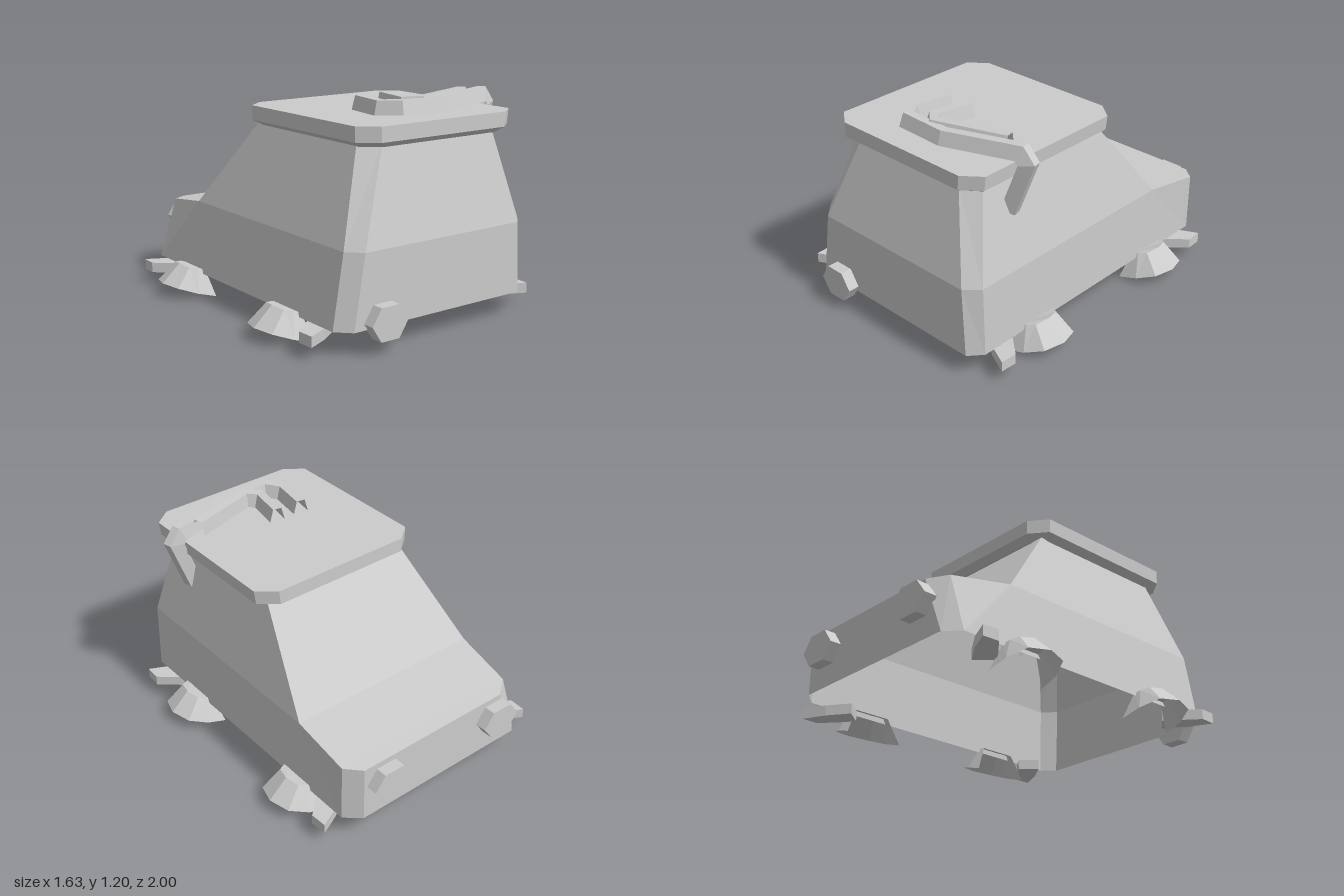
import * as THREE from 'three';

const material = new THREE.MeshStandardMaterial({ color: 0xcccccc, flatShading: true, side: THREE.DoubleSide });

// Flat polygons, each a loop of [x, y, z] corners, cut into fans
function polygonMesh(name, faces) {
  const pos = [];
  for (const f of faces)
    for (let i = 1; i < f.length - 1; i++) pos.push(...f[0], ...f[i], ...f[i + 1]);
  const geo = new THREE.BufferGeometry();
  geo.setAttribute('position', new THREE.Float32BufferAttribute(pos, 3));
  geo.computeVertexNormals();
  const mesh = new THREE.Mesh(geo, material);
  mesh.name = name;
  return mesh;
}

// Quads between successive rings of equal length
function loft(rings, closed = true) {
  const faces = [];
  for (let r = 0; r < rings.length - 1; r++) {
    const a = rings[r], b = rings[r + 1], n = a.length;
    for (let i = 0; i < (closed ? n : n - 1); i++) {
      const j = (i + 1) % n;
      faces.push([a[i], a[j], b[j], b[i]]);
    }
  }
  return faces;
}

// Octagon at height y with cut corners
function octagon(x0, x1, z0, z1, y, cx, cz) {
  return [[x0 + cx, z1], [x1 - cx, z1], [x1, z1 - cz], [x1, z0 + cz],
    [x1 - cx, z0], [x0 + cx, z0], [x0, z0 + cz], [x0, z1 - cz]].map(([x, z]) => [x, y, z]);
}

// Open channel swept along a path, mitred at each bend
function channel(name, path) {
  const pts = path.map(p => new THREE.Vector3(...p));
  const dirs = pts.slice(1).map((p, i) => p.clone().sub(pts[i]).normalize());
  const side = new THREE.Vector3().crossVectors(dirs[0], new THREE.Vector3(0, 1, 0)).normalize();
  const up = new THREE.Vector3().crossVectors(side, dirs[0]);
  let ring = [[-0.045, -0.04], [-0.025, 0.035], [0.025, 0.035], [0.045, -0.04]]
    .map(([s, u]) => pts[0].clone().addScaledVector(side, s).addScaledVector(up, u));
  const rings = [ring];
  for (let i = 1; i < pts.length; i++) {
    const d = dirs[i - 1];
    const n = d.clone().add(dirs[i] || d).normalize();
    ring = ring.map(v => v.clone().addScaledVector(d, pts[i].clone().sub(v).dot(n) / d.dot(n)));
    rings.push(ring);
  }
  return polygonMesh(name, loft(rings.map(r => r.map(v => v.toArray())), false));
}

function createBody() {
  // Corner points of each flank: b bottom, m waist, h bonnet, t top
  const L = {
    b: [[-0.545, 0.13, 0.935], [-0.62, 0.13, 0.86], [-0.62, 0.13, -0.86], [-0.54, 0.13, -0.935]],
    m: [[-0.48, 0.52, 0.935], [-0.555, 0.52, 0.86], [-0.555, 0.52, -0.505]],
    h: [[-0.51, 0.465, -0.86], [-0.41, 0.455, -0.935]],
    t: [[-0.29, 1.01, 0.82], [-0.39, 1.01, 0.745], [-0.39, 1.01, -0.12]],
  };
  const R = {
    b: [[0.57, 0.13, 0.935], [0.635, 0.13, 0.86], [0.635, 0.13, -0.86], [0.55, 0.13, -0.935]],
    m: [[0.55, 0.52, 0.935], [0.625, 0.52, 0.86], [0.625, 0.52, -0.505]],
    h: [[0.635, 0.465, -0.86], [0.55, 0.455, -0.935]],
    t: [[0.43, 1.01, 0.82], [0.52, 1.01, 0.745], [0.52, 1.01, -0.12]],
  };
  const flank = ({ b, m, h, t }) => [
    [m[2], h[0], b[2], b[1], m[1]], [m[1], t[1], t[2], m[2]],
    [b[1], b[0], m[0], m[1]], [m[1], m[0], t[0], t[1]],
    [b[3], b[2], h[0], h[1]],
  ];
  return polygonMesh('body', [
    ...flank(L), ...flank(R).map(f => [f[0], ...f.slice(1).reverse()]),
    [L.b[0], R.b[0], R.m[0], L.m[0]], [L.m[0], R.m[0], R.t[0], L.t[0]],
    [R.m[2], L.m[2], L.t[2], R.t[2]],
    [R.h[0], L.h[0], L.m[2], R.m[2]], [R.h[1], L.h[1], L.h[0], R.h[0]],
    [R.b[3], L.b[3], L.h[1], R.h[1]],
  ]);
}

function createRoof() {
  const rings = [
    octagon(-0.39, 0.54, -0.14, 0.84, 1.0, 0.09, 0.07),
    octagon(-0.44, 0.583, -0.183, 0.88, 1.03, 0.1, 0.08),
    octagon(-0.443, 0.592, -0.183, 0.88, 1.11, 0.1, 0.08),
  ];
  return polygonMesh('roof', [...loft(rings), rings[2], [...rings[0]].reverse()]);
}

// Hexagonal lamp facing along z
function lamp(name, x, y, z, rx, height) {
  const geo = new THREE.CylinderGeometry(1, 1, 0.075, 6);
  geo.rotateY(Math.PI / 6).rotateX(Math.PI / 2);
  geo.rotateZ(0);
  const p = geo.attributes.position;
  // Keep points at the sides and flats at top and bottom
  const box = new THREE.Box3().setFromBufferAttribute(p);
  if (box.max.x < 0.95) geo.rotateZ(Math.PI / 2);
  geo.scale(rx, height / Math.sqrt(3), 1);
  const mesh = new THREE.Mesh(geo, material);
  mesh.name = name;
  mesh.position.set(x, y, z);
  return mesh;
}

// Flared wheel cover, lower on the inner side
function createWheelCover() {
  const rim = [[0.57, 0.003, 0.175], [0.68, 0.035, 0.165], [0.78, 0.07, 0.115], [0.815, 0.08, 0],
    [0.78, 0.07, -0.115], [0.68, 0.035, -0.165], [0.57, 0.003, -0.175]];
  const crown = [[0.6, 0.15, 0.11], [0.64, 0.16, 0.105], [0.685, 0.17, 0.08], [0.705, 0.18, 0],
    [0.685, 0.17, -0.08], [0.64, 0.16, -0.105], [0.6, 0.15, -0.11]];
  return polygonMesh('wheelCover', [...loft([rim, crown], false), crown]);
}

// Wedge-shaped bracket under a corner of the body
function createBracket() {
  const outline = [[0.49, 0.70], [0.61, 0.785], [0.735, 0.845], [0.74, 0.75], [0.63, 0.655], [0.57, 0.61]];
  const [low, high] = [0.07, 0.128].map(y => outline.map(([x, z]) => [x, y, z]));
  return polygonMesh('cornerBracket', [...loft([low, high]), high, [...low].reverse()]);
}

export function createModel() {
  const model = new THREE.Group();
  model.name = 'car';
  model.add(createBody(), createRoof());

  // Lamps
  model.add(
    lamp('frontLamp', -0.372, 0.163, 0.9625, 0.113, 0.175),
    lamp('rearLampRight', -0.365, 0.335, -0.9625, 0.125, 0.17),
    lamp('rearLampLeft', 0.405, 0.335, -0.9625, 0.125, 0.17),
  );

  // Wheel covers and corner brackets, mirrored to all four corners
  for (const sx of [-1, 1]) for (const sz of [-1, 1]) {
    const cover = createWheelCover();
    cover.scale.x = sx;
    cover.position.z = sz > 0 ? 0.46 : -0.485;
    const bracket = createBracket();
    bracket.scale.set(sx, 1, sz);
    model.add(cover, bracket);
  }

  // Bent channels lying on the roof, the longer one hooked over the edge
  model.add(
    channel('roofHook', [[-0.09, 1.155, 0.385], [-0.125, 1.155, 0.6], [-0.06, 1.16, 0.69],
      [0.2, 1.155, 0.695], [0.61, 1.165, 0.565], [0.655, 1.11, 0.56], [0.545, 0.82, 0.575]]),
    channel('roofBranch', [[0.075, 1.16, 0.385], [0.035, 1.16, 0.6], [0.1, 1.165, 0.66], [0.5, 1.17, 0.535]]),
  );
  return model;
}
